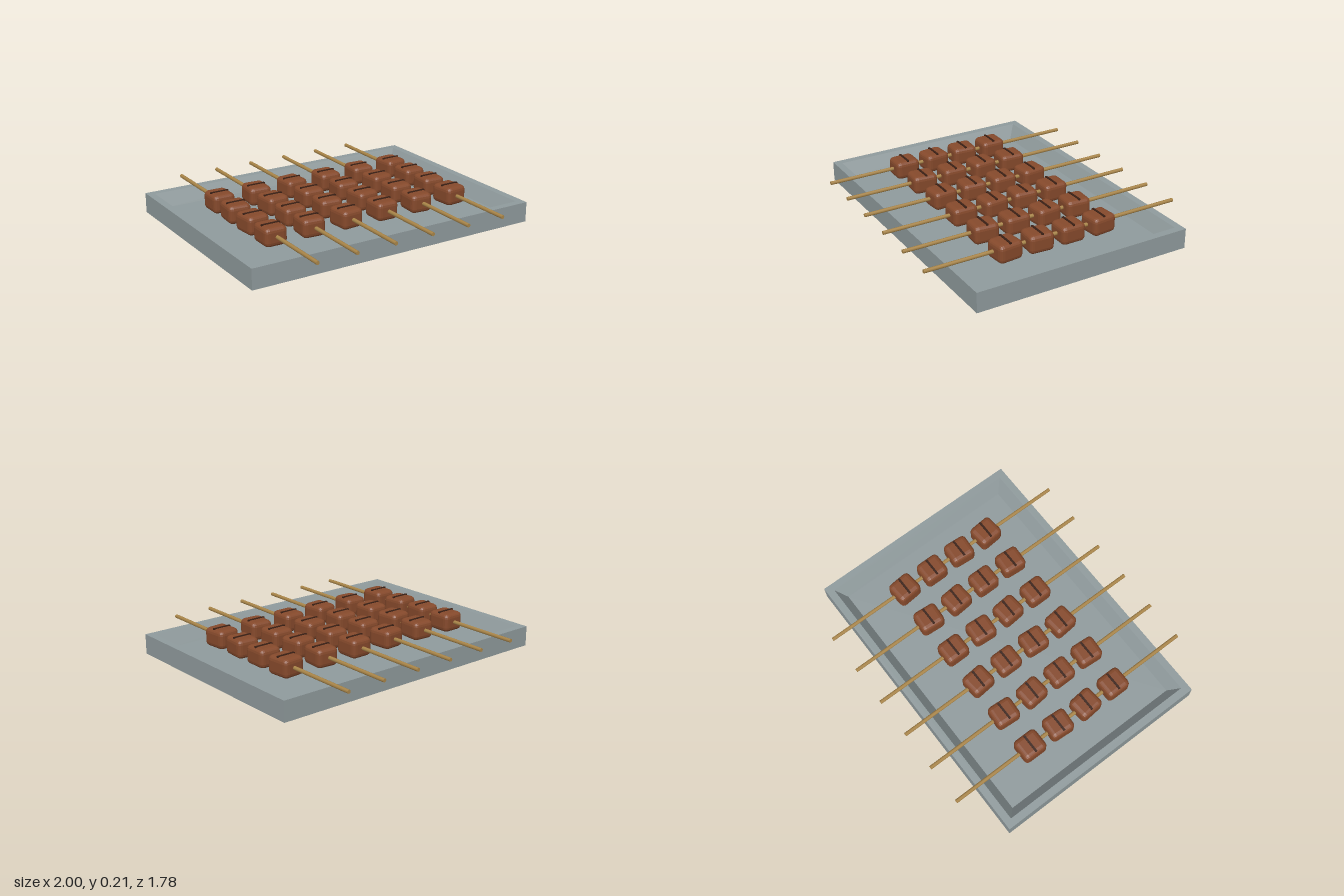
import * as THREE from 'three';
import { RoundedBoxGeometry } from 'three/addons/geometries/RoundedBoxGeometry.js';

const mat = (name, color, flatShading = false) => {
  const m = new THREE.MeshStandardMaterial({ color, flatShading });
  m.name = name;
  return m;
};

// Rectangular tray: rings of [half width, half depth, height] joined by quads
function trayGeometry(rings) {
  const corners = [[-1, 1], [1, 1], [1, -1], [-1, -1]];
  const at = ([w, d, y], k) => [corners[k % 4][0] * w, y, corners[k % 4][1] * d];
  const pos = [];
  for (let r = 0; r < rings.length - 1; r++) {
    for (let k = 0; k < 4; k++) {
      const a = at(rings[r], k), b = at(rings[r], k + 1);
      const c = at(rings[r + 1], k + 1), d = at(rings[r + 1], k);
      pos.push(...a, ...b, ...c, ...a, ...c, ...d);
    }
  }
  const g = new THREE.BufferGeometry();
  g.setAttribute('position', new THREE.Float32BufferAttribute(pos, 3));
  g.computeVertexNormals();
  return g;
}

export function createModel() {
  const model = new THREE.Group();
  model.name = 'skewerTray';
  const steel = mat('traySteel', 0x8f9a9c, true);
  const wood = mat('skewerWood', 0xa98548);
  const meat = mat('grilledMeat', 0x85492b, true);
  const char = mat('charMark', 0x3a2015);

  const add = (parent, name, geo, material, x = 0, y = 0, z = 0) => {
    const m = new THREE.Mesh(geo, material);
    m.name = name;
    m.position.set(x, y, z);
    parent.add(m);
    return m;
  };

  // Tray: underside, outer wall, rim, sloped inner wall, floor
  add(model, 'tray', trayGeometry([
    [0, 0, 0], [1, 0.733, 0], [1, 0.733, 0.132],
    [0.952, 0.685, 0.132], [0.893, 0.627, 0.045], [0, 0, 0.045],
  ]), steel);

  const stickGeo = new THREE.CylinderGeometry(0.0125, 0.0125, 1.78, 8).rotateX(Math.PI / 2);
  const chunkGeo = new RoundedBoxGeometry(0.152, 0.122, 0.168, 2, 0.03);
  const markGeo = new THREE.BoxGeometry(0.125, 0.009, 0.014);
  const turns = [0, -0.07, 0.09];

  // Six skewers, each with four chunks of meat and a char line on each chunk
  for (let i = 0; i < 6; i++) {
    const skewer = new THREE.Group();
    skewer.name = 'skewer';
    skewer.position.x = -0.667 + i * 0.2668;
    model.add(skewer);
    add(skewer, 'stick', stickGeo, wood, 0, 0.147, 0);
    for (let j = 0; j < 4; j++) {
      const z = -0.315 + j * 0.222;
      add(skewer, 'meatChunk', chunkGeo, meat, 0, 0.145, z).rotation.y = turns[(i + j) % 3];
      add(skewer, 'charLine', markGeo, char, 0, 0.2055, z);
    }
  }
  return model;
}
